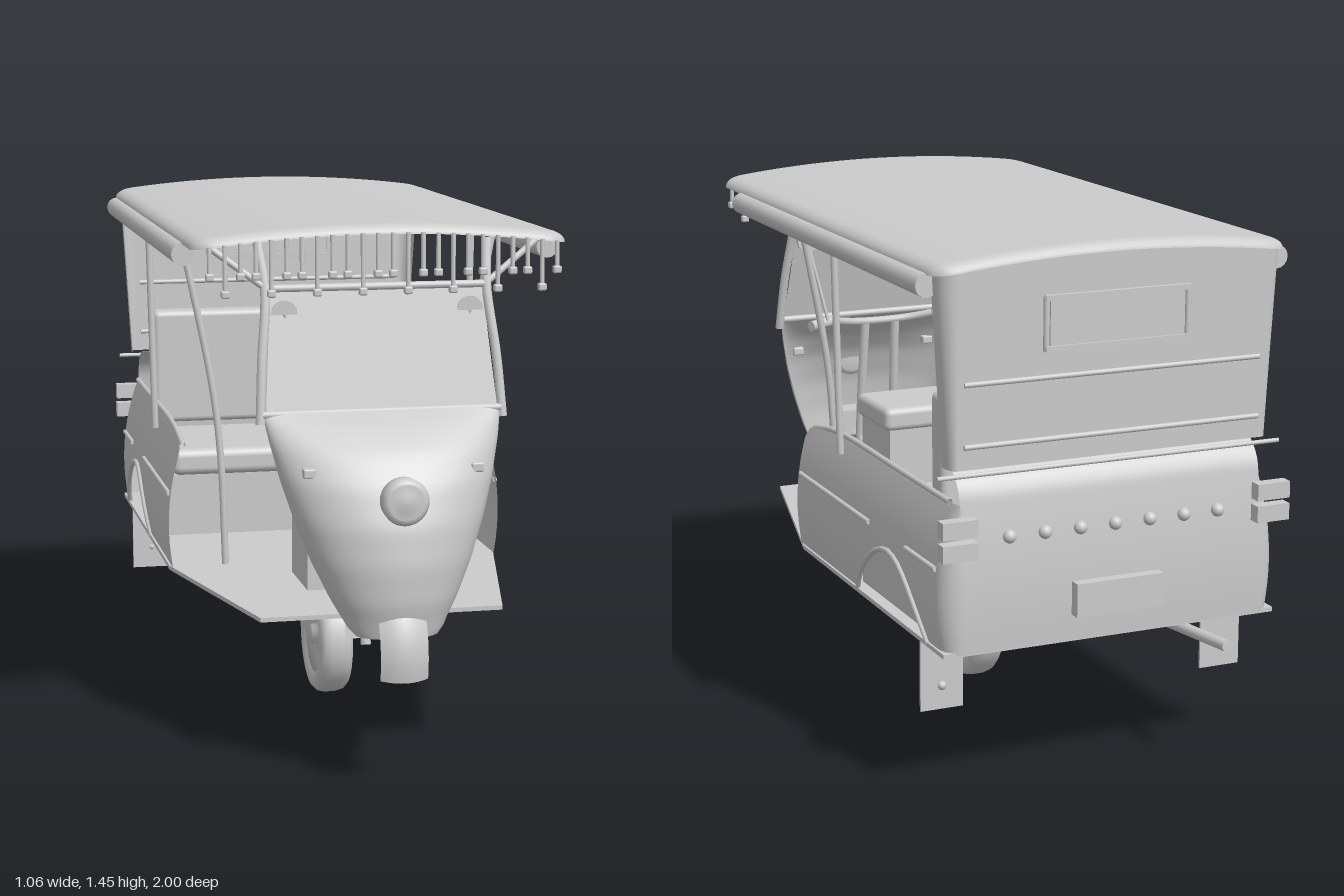
import * as THREE from 'three';
import { RoundedBoxGeometry } from 'three/addons/geometries/RoundedBoxGeometry.js';

const solid = new THREE.MeshStandardMaterial({ color: 0xcccccc });
const thin = new THREE.MeshStandardMaterial({ color: 0xcccccc, side: THREE.DoubleSide });
const V = (x, y, z) => new THREE.Vector3(x, y, z);
const lerp = THREE.MathUtils.lerp;

// Piecewise-linear lookup in [[key, value], ...] with rising keys
function look(table, k) {
  for (let i = 1; i < table.length; i++) {
    const [a, va] = table[i - 1], [b, vb] = table[i];
    if (k <= b) return lerp(va, vb, Math.max(0, (k - a) / (b - a)));
  }
  return table[table.length - 1][1];
}

// Smooth surface from a rule (u, v in 0..1) -> point
function grid(nu, nv, rule) {
  const pos = [], idx = [];
  for (let j = 0; j <= nv; j++) for (let i = 0; i <= nu; i++) pos.push(...rule(i / nu, j / nv));
  for (let j = 0; j < nv; j++) for (let i = 0; i < nu; i++) {
    const a = j * (nu + 1) + i, b = a + nu + 1;
    idx.push(a, a + 1, b + 1, a, b + 1, b);
  }
  const g = new THREE.BufferGeometry();
  g.setAttribute('position', new THREE.Float32BufferAttribute(pos, 3));
  g.setIndex(idx);
  g.computeVertexNormals();
  return g;
}

// U-shaped wall, open to the front, with rounded rear corners
function uWall(hw, zFront, zBack, r, nSide, bottom, top, inset) {
  const half = [];
  for (let i = 0; i < nSide; i++) half.push([hw, lerp(zFront, zBack + r, i / nSide), 1, 0]);
  for (let i = 0; i <= 8; i++) {
    const a = i / 8 * Math.PI / 2, c = Math.cos(a), s = Math.sin(a);
    half.push([hw - r + r * c, zBack + r - r * s, c, -s]);
  }
  for (let i = 1; i <= 6; i++) half.push([(hw - r) * (1 - i / 6), zBack, 0, -1]);
  const path = [...half, ...half.slice(0, -1).reverse().map(([x, z, a, b]) => [-x, z, -a, b])];
  const n = path.length - 1;
  return grid(n, 12, (u, v) => {
    const [x, z, nx, nz] = path[Math.round(u * n)];
    const y = lerp(bottom(x, z), top(x, z), v), d = inset(y);
    return [x - nx * d, y, z - nz * d * 0.4];
  });
}

export function createModel() {
  const root = new THREE.Group();
  const add = (name, geo, mat = solid) => {
    const m = new THREE.Mesh(geo, mat);
    m.name = name;
    root.add(m);
    return m;
  };
  const box = (name, x0, x1, y0, y1, z0, z1, r = 0) => {
    const s = [x1 - x0, y1 - y0, z1 - z0];
    const m = add(name, r ? new RoundedBoxGeometry(...s, 3, r) : new THREE.BoxGeometry(...s));
    m.position.set((x0 + x1) / 2, (y0 + y1) / 2, (z0 + z1) / 2);
    return m;
  };
  const tube = (name, pts, r, seg = 10) => {
    const p = pts.map(q => V(...q));
    const curve = p.length === 2 ? new THREE.LineCurve3(...p) : new THREE.CatmullRomCurve3(p);
    const m = add(name, new THREE.TubeGeometry(curve, p.length === 2 ? 1 : 16, r, seg), thin);
    return m;
  };
  const rod = (name, a, b, r) => {
    const p = V(...a), q = V(...b), d = q.clone().sub(p);
    const m = add(name, new THREE.CylinderGeometry(r, r, d.length(), 16));
    m.position.copy(p).add(q).multiplyScalar(0.5);
    m.quaternion.setFromUnitVectors(V(0, 1, 0), d.normalize());
    return m;
  };
  const bothSides = f => [1, -1].forEach(f);

  // Arched roof with rounded corners and a turned-down rim
  const roofY = x => 1.455 - 0.035 * (x / 0.5) ** 2;
  const hw = 0.5, hl = 0.84, rc = 0.06;
  add('roof', grid(40, 48, (u, v) => {
    let x = hw * Math.sin((u - 0.5) * Math.PI), z = hl * Math.sin((v - 0.5) * Math.PI);
    const d = Math.min(hw - Math.abs(x), hl - Math.abs(z));
    const drop = d < 0.035 ? 0.025 * (1 - Math.sqrt(1 - (1 - d / 0.035) ** 2)) : 0;
    const ex = Math.abs(x) - (hw - rc), ez = Math.abs(z) - (hl - rc);
    if (ex > 0 && ez > 0) {
      const k = Math.max(ex, ez) / Math.hypot(ex, ez);
      x = Math.sign(x) * (hw - rc + ex * k);
      z = Math.sign(z) * (hl - rc + ez * k);
    }
    return [x, roofY(x) - drop, z - 0.105];
  }), thin);

  // Fringe of hanging tassels along the front of the roof
  for (let i = 0; i < 24; i++) {
    const x = -0.46 + i * 0.04, end = i % 3 === 1 ? 1.285 : 1.33;
    rod('tassel', [x, roofY(x) - 0.02, 0.745], [x, end, 0.748], 0.006);
    box('tasselBead', x - 0.011, x + 0.011, end - 0.01, end + 0.01, 0.738, 0.758, 0.005);
  }

  // Rear canopy curtain with window frame and seams
  add('rearCurtain', uWall(0.485, -0.87, -0.94, 0.05, 3, () => 0.9, x => roofY(x) - 0.02,
    y => 0.03 * (1.42 - y) / 0.52), thin);
  box('rearWindow', -0.19, 0.19, 1.2, 1.32, -0.945, -0.937);
  for (const y of [1.195, 1.325]) box('windowFrame', -0.205, 0.205, y - 0.007, y + 0.007, -0.952, -0.93);
  bothSides(s => rod('windowFrame', [s * 0.2, 1.19, -0.942], [s * 0.2, 1.33, -0.942], 0.008));
  for (const y of [1.12, 0.96]) rod('curtainSeam', [-0.42, y, -0.932], [0.42, y, -0.932], 0.007);
  rod('curtainBar', [-0.49, 0.885, -0.925], [0.49, 0.885, -0.925], 0.006);

  // Rear tub with wheel arches
  const archY = z => {
    const t = (-0.325 - z) / 0.5;
    return t > 0 && t < 1 ? 0.42 + 0.18 * Math.sin(Math.PI * t) ** 0.85 : 0.42;
  };
  const tubTop = z => look([[-0.17, 0.81], [-0.05, 0.803], [0.08, 0.785], [0.115, 0.77], [0.13, 0.745]], z);
  const tubInset = y => y > 0.55 ? 0.05 * ((y - 0.55) / 0.26) ** 2 : 0.012 * ((0.55 - y) / 0.13) ** 2;
  add('rearTub', uWall(0.485, 0.13, -0.95, 0.06, 60, (x, z) => archY(z), (x, z) => tubTop(z), tubInset), thin);
  add('rearShelf', grid(8, 8, (u, v) => {
    const a = v * Math.PI / 2;
    return [lerp(-0.43, 0.43, u), 0.8 + 0.11 * Math.sin(a), -0.81 - 0.12 * Math.cos(a)];
  }), thin);
  bothSides(s => {
    const arch = Array.from({ length: 17 }, (_, i) => {
      const z = lerp(-0.325, -0.825, i / 16), y = archY(z);
      return [s * (0.487 - tubInset(y)), y, z];
    });
    tube('wheelArchTrim', arch, 0.008, 6);
    const tx = s * (0.487 - tubInset(0.64));
    rod('sideTrim', [tx, 0.64, 0.11], [tx, 0.64, -0.43], 0.007);
    rod('sideTrim', [tx, 0.64, -0.69], [tx, 0.64, -0.89], 0.007);
    const rim = [0.1, -0.03, -0.17, -0.5, -0.88].map(z => [s * 0.437, tubTop(z), z]);
    tube('tubRim', rim, 0.008, 6);
    // Tail lamps
    for (const y of [0.68, 0.74]) box('tailLamp', s * 0.45 - 0.048, s * 0.45 + 0.048, y, y + 0.045, -0.98, -0.945);
    // Mud flaps with a small stud
    box('mudFlap', s * 0.415 - 0.06, s * 0.415 + 0.06, 0.215, 0.42, -0.775, -0.768);
    const stud = add('flapStud', new THREE.SphereGeometry(0.012, 10, 8));
    stud.position.set(s * 0.415, 0.28, -0.776);
  });
  for (let i = 0; i < 7; i++) {
    const lamp = add('rearMarker', new THREE.SphereGeometry(0.018, 14, 10));
    lamp.position.set(-0.3 + i * 0.1, 0.72, -0.945);
  }
  box('numberPlate', -0.125, 0.125, 0.49, 0.58, -0.982, -0.945);

  // Floor, narrowing to the front
  const plan = new THREE.Shape([[-0.33, -0.73], [0.33, -0.73], [0.48, -0.1], [0.48, 0.94], [-0.48, 0.94], [-0.48, -0.1]]
    .map(p => new THREE.Vector2(...p)));
  const floor = add('floor', new THREE.ExtrudeGeometry(plan, { depth: 0.012, bevelEnabled: false }));
  floor.rotation.x = -Math.PI / 2;
  floor.scale.y = 1;
  floor.position.y = 0.414;

  // Seats
  box('driverSeatBase', -0.15, 0.15, 0.425, 0.71, 0.24, 0.465);
  box('driverSeatCushion', -0.165, 0.165, 0.7, 0.77, 0.23, 0.48, 0.02);
  box('benchBase', -0.445, 0.445, 0.425, 0.61, -0.71, -0.29);
  box('benchCushion', -0.415, 0.415, 0.61, 0.69, -0.7, -0.27, 0.025);
  box('benchBackrest', -0.41, 0.41, 0.7, 1.055, -0.77, -0.69, 0.018);

  // Front fairing shell
  const width = [[0.41, 0.11], [0.43, 0.128], [0.5, 0.168], [0.6, 0.215], [0.7, 0.252], [0.8, 0.283], [0.9, 0.307], [0.97, 0.32]];
  const front = [[0.41, 0.955], [0.5, 0.977], [0.6, 0.98], [0.7, 0.965], [0.8, 0.925], [0.88, 0.865], [0.94, 0.79], [0.97, 0.735]];
  const back = [[0.41, 0.89], [0.45, 0.863], [0.59, 0.82], [0.75, 0.78], [0.9, 0.74], [0.97, 0.715]];
  add('fairing', grid(32, 28, (u, v) => {
    const y = lerp(0.41, 0.97, v), a = (u - 0.5) * Math.PI, b = look(back, y);
    return [look(width, y) * Math.sin(a), y, b + (look(front, y) - b) * Math.cos(a)];
  }), thin);
  rod('cowlRail', [-0.32, 0.965, 0.72], [0.32, 0.965, 0.72], 0.01);
  box('dashBox', -0.1, 0.1, 0.55, 0.63, 0.8, 0.88);

  // Headlamp
  const lampProfile = [[0, 0], [0.045, 0], [0.06, 0.012], [0.062, 0.045], [0.052, 0.06], [0.045, 0.055], [0.025, 0.062], [0, 0.064]];
  const lamp = add('headlamp', new THREE.LatheGeometry(lampProfile.map(p => new THREE.Vector2(...p)), 32), thin);
  lamp.rotation.x = Math.PI / 2;
  lamp.position.set(0, 0.775, 0.935);

  // Windscreen, pillars, braces and posts
  const screen = [V(-0.31, 0.97, 0.72), V(0.31, 0.97, 0.72), V(-0.285, 1.285, 0.645), V(0.285, 1.285, 0.645)];
  add('windscreen', grid(1, 1, (u, v) => screen[2 * v + u].toArray()), thin);
  rod('screenTopRail', [-0.29, 1.285, 0.645], [0.29, 1.285, 0.645], 0.01);
  bothSides(s => {
    tube('screenPillar', [[s * 0.325, 0.94, 0.72], [s * 0.315, 1.1, 0.69], [s * 0.298, 1.28, 0.645], [s * 0.31, 1.4, 0.6]], 0.013);
    rod('roofBrace', [s * 0.295, 1.285, 0.645], [s * 0.45, 1.4, 0.61], 0.009);
    tube('sidePost', [[s * 0.335, 0.45, 0.205], [s * 0.345, 0.75, 0.2], [s * 0.365, 0.95, 0.19], [s * 0.45, 1.39, 0.17]], 0.01);
    rod('rearPost', [s * 0.475, 0.775, -0.205], [s * 0.487, 1.37, -0.205], 0.01);
    rod('rolledCurtain', [s * 0.497, 1.368, 0.54], [s * 0.497, 1.368, -0.88], 0.031);
    // Fork legs, handlebar grips, mirrors and indicators
    tube('forkLeg', [[s * 0.055, 0.35, 0.77], [s * 0.055, 0.48, 0.74], [s * 0.055, 0.65, 0.725], [s * 0.05, 0.94, 0.69]], 0.014);
    rod('handlebarGrip', [s * 0.16, 0.965, 0.65], [s * 0.26, 0.96, 0.61], 0.016);
    rod('mirrorStem', [s * 0.2, 0.97, 0.62], [s * 0.25, 1.22, 0.66], 0.005);
    const mirror = add('mirror', new THREE.CylinderGeometry(0.035, 0.035, 0.012, 20));
    mirror.rotation.x = Math.PI / 2;
    mirror.position.set(s * 0.25, 1.22, 0.655);
    box('indicator', s * 0.222 - 0.017, s * 0.222 + 0.017, 0.82, 0.845, 0.83, 0.86, 0.005);
  });
  tube('handlebar', [[-0.18, 0.965, 0.645], [-0.08, 0.945, 0.69], [0.08, 0.945, 0.69], [0.18, 0.965, 0.645]], 0.012);

  // Curved front mudguard
  add('frontMudguard', grid(8, 28, (u, v) => {
    const a = lerp(-0.22, Math.PI + 0.22, v), c = (u - 0.5) * 2, r = 0.233 - 0.02 * c * c;
    return [0.063 * c, 0.355 + r * Math.sin(a), 0.768 + r * Math.cos(a)];
  }), thin);

  // Wheel
  const tyre = [[0.11, -0.038], [0.135, -0.05], [0.155, -0.047], [0.168, -0.035], [0.173, -0.015], [0.173, 0.015],
    [0.168, 0.035], [0.155, 0.047], [0.135, 0.05], [0.11, 0.038]];
  const rim = [[0, -0.046], [0.03, -0.046], [0.032, -0.022], [0.085, -0.022], [0.112, -0.04],
    [0.112, 0.04], [0.085, 0.022], [0.032, 0.022], [0.03, 0.046], [0, 0.046]];
  for (const [name, profile] of [['tyre', tyre], ['wheelRim', rim]]) {
    const m = add(name, new THREE.LatheGeometry(profile.map(p => new THREE.Vector2(...p)), 28), thin);
    m.rotation.z = Math.PI / 2;
    m.position.y = 0.174;
  }

  // Rear axle and exhaust
  rod('rearAxle', [-0.375, 0.35, -0.565], [0.375, 0.35, -0.565], 0.023);
  rod('exhaustPipe', [-0.27, 0.343, -0.65], [-0.31, 0.358, -1.0], 0.016);

  return root;
}
